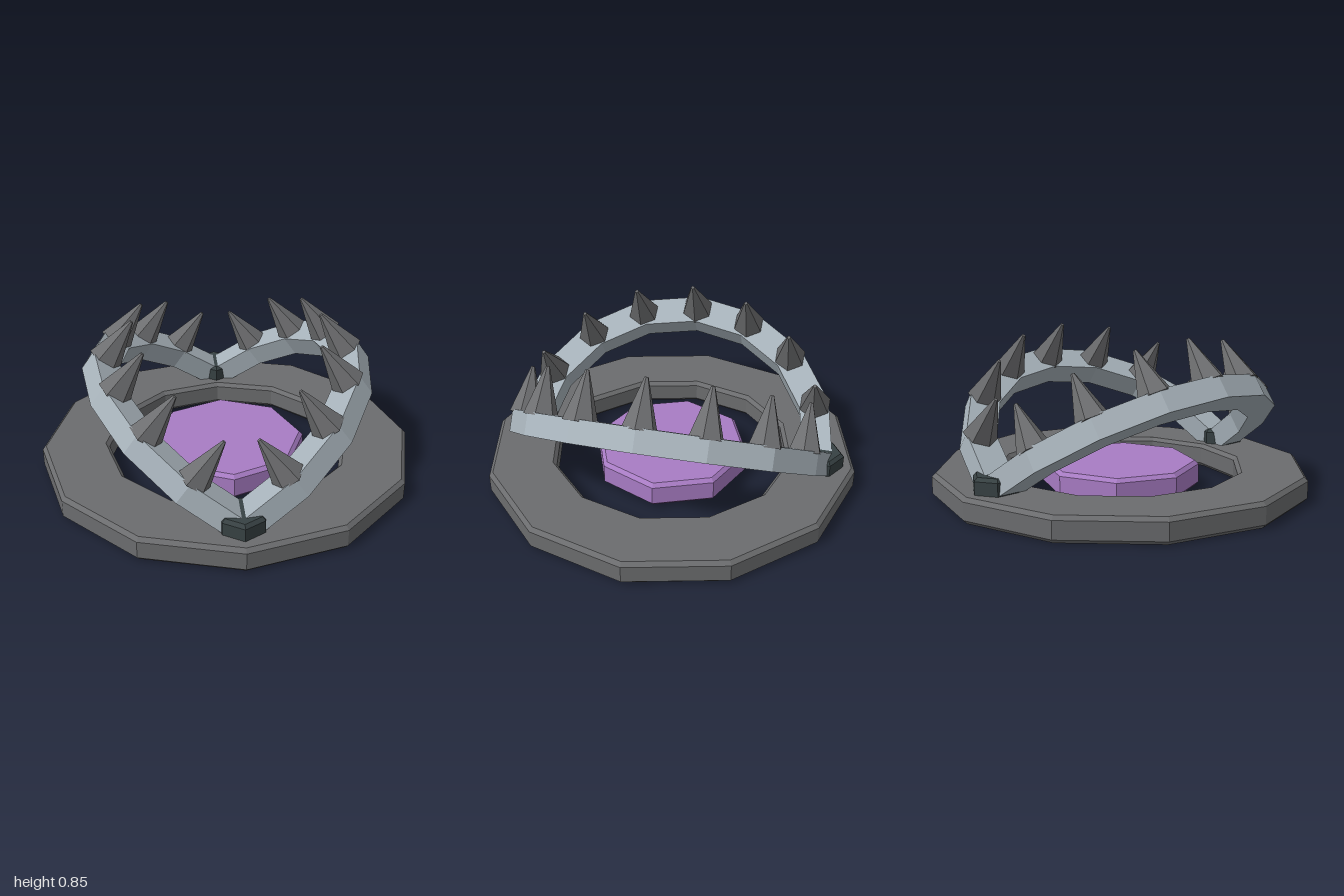
import * as THREE from 'three';

const mat = (name, color) => {
  const m = new THREE.MeshStandardMaterial({ color, flatShading: true });
  m.name = name;
  return m;
};

const add = (parent, name, geometry, material) => {
  const mesh = new THREE.Mesh(geometry, material);
  mesh.name = name;
  parent.add(mesh);
  return mesh;
};

// Faceted solid turned from [radius, height] points, listed upwards on the outside
const turned = (points, sides, start = 0, length = Math.PI * 2) =>
  new THREE.LatheGeometry(points.map(([r, y]) => new THREE.Vector2(r, y)), sides, start, length);

// Bevelled polygonal disc
const disc = (radius, bottom, top, bevel, sides) => turned([
  [0, bottom], [radius - bevel, bottom], [radius, bottom + bevel],
  [radius, top - bevel], [radius - bevel, top], [0, top],
], sides);

export function createModel() {
  const iron = mat('dark iron', 0x6b6c6e);
  const steel = mat('pale steel', 0xa7b2ba);
  const spikeGrey = mat('spike grey', 0x6d6e70);
  const hingeBlack = mat('hinge black', 0x374143);
  const purple = mat('purple', 0xa87cc4);

  const model = new THREE.Group();
  model.name = 'jawTrap';

  // Base ring with bevelled edges
  const b = 0.02, ri = 0.64, ro = 1, h = 0.13;
  add(model, 'baseRing', turned([
    [ri + b, 0], [ro - b, 0], [ro, b], [ro, h - b], [ro - b, h],
    [ri + b, h], [ri, h - b], [ri, b], [ri + b, 0],
  ], 12), iron);

  // Trigger plate in the middle
  add(model, 'triggerPlate', disc(0.42, 0.01, 0.15, 0.02, 8), purple);

  // Hinge blocks at front and back
  for (const side of [1, -1]) {
    const hinge = add(model, side > 0 ? 'frontHinge' : 'backHinge',
      disc(0.125, 0.08, 0.215, 0.018, 6), hingeBlack);
    hinge.scale.x = 0.95;
    hinge.position.z = side * 0.81;
  }

  // Two half-ring jaws, each raised 35 degrees and carrying seven spikes
  const jawGeometry = turned([
    [0.72, -0.06], [0.88, -0.06], [0.88, 0.06], [0.72, 0.06], [0.72, -0.06],
  ], 8, 0, Math.PI);
  const spikeGeometry = new THREE.CylinderGeometry(0.01, 0.09, 0.25, 6);
  spikeGeometry.rotateY(Math.PI / 2);
  spikeGeometry.translate(0, 0.175, 0);

  for (const side of [1, -1]) {
    const turn = new THREE.Group();
    turn.name = side > 0 ? 'leftJaw' : 'rightJaw';
    turn.rotation.y = side > 0 ? 0 : Math.PI;
    turn.position.y = 0.135;
    const tilt = new THREE.Group();
    tilt.name = 'jawTilt';
    tilt.rotation.z = THREE.MathUtils.degToRad(35);
    turn.add(tilt);
    add(tilt, 'jawBand', jawGeometry, steel);
    for (let i = -3; i <= 3; i++) {
      const a = i * Math.PI / 8;
      add(tilt, 'spike', spikeGeometry, spikeGrey)
        .position.set(0.805 * Math.cos(a), 0, 0.805 * Math.sin(a));
    }
    model.add(turn);
  }
  return model;
}
